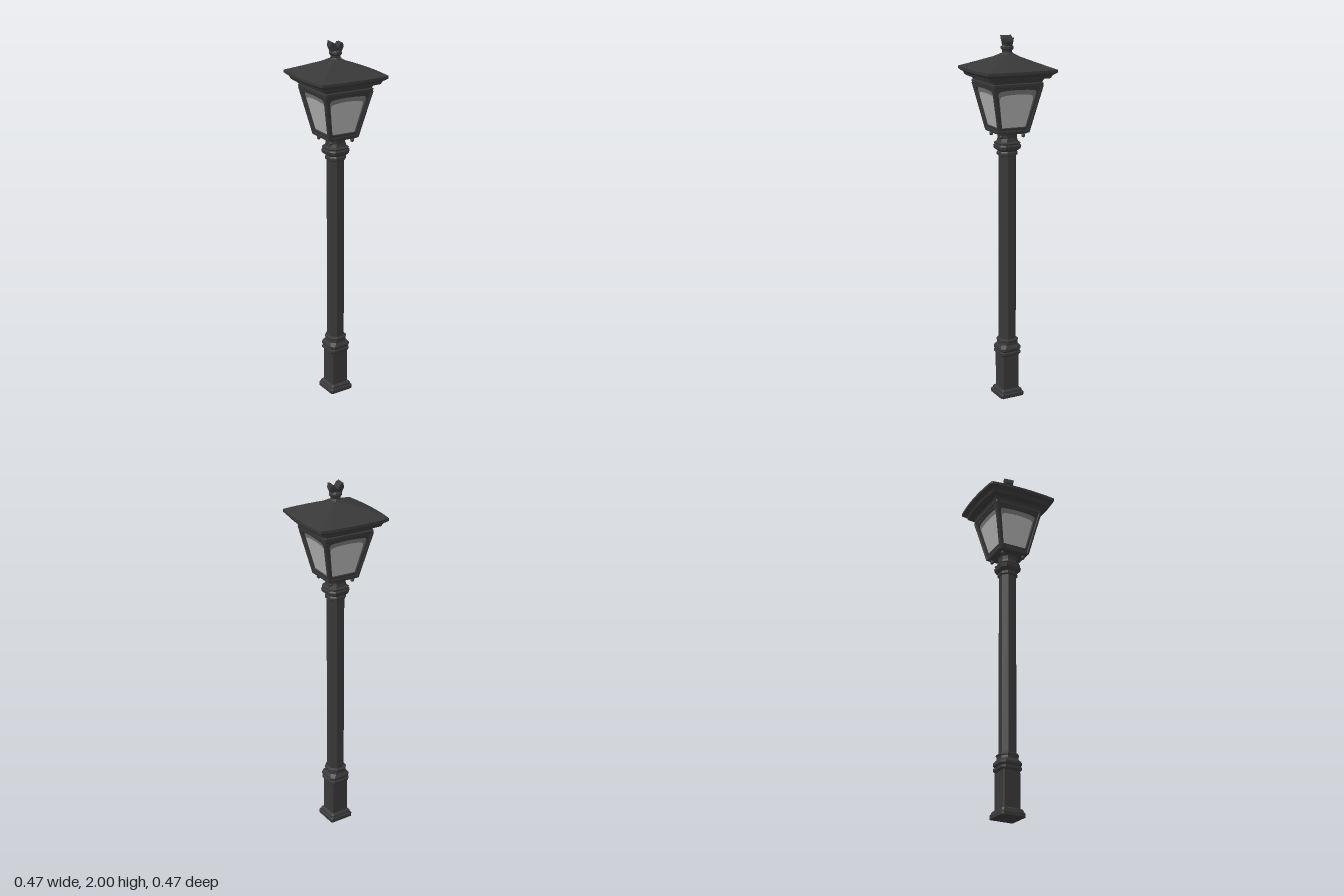
import * as THREE from 'three';

const metal = new THREE.MeshStandardMaterial({ color: 0x383838 });
metal.name = 'dark painted metal';
const glass = new THREE.MeshStandardMaterial({ color: 0xb2b2b2 });
glass.name = 'frosted glass';
const rimGlass = new THREE.MeshStandardMaterial({ color: 0x747474 });
rimGlass.name = 'shaded glass rim';

// Stacks square rings [y, halfWidth, cornerCut, bow]; cut is a fraction of halfWidth, bow bulges the sides.
function loft(name, rings, perSide = 1) {
  const loops = rings.map(([y, h, cut = 0.1, bow = 0]) => {
    const loop = [];
    for (let s = 0; s < 4; s++) {
      const c = Math.cos(s * Math.PI / 2), n = Math.sin(s * Math.PI / 2);
      for (let i = 0; i <= perSide; i++) {
        const t = -1 + 2 * i / perSide;
        const u = t * h * (1 - cut), w = h + bow * (1 - t * t);
        loop.push([u * c + w * n, y, w * c - u * n]);
      }
    }
    return loop;
  });
  const pos = [];
  const tri = (...p) => p.forEach(q => pos.push(...q));
  const N = loops[0].length, last = loops.length - 1;
  for (let i = 0; i < N; i++) {
    const j = (i + 1) % N;
    for (let k = 0; k < last; k++) {
      const a = loops[k][i], b = loops[k][j], c = loops[k + 1][j], d = loops[k + 1][i];
      tri(a, b, c);
      tri(a, c, d);
    }
    tri([0, rings[0][0], 0], loops[0][j], loops[0][i]);
    tri([0, rings[last][0], 0], loops[last][i], loops[last][j]);
  }
  const g = new THREE.BufferGeometry();
  g.setAttribute('position', new THREE.Float32BufferAttribute(pos, 3));
  g.computeVertexNormals();
  return mesh(name, g, metal);
}

function mesh(name, geometry, material) {
  const m = new THREE.Mesh(geometry, material);
  m.name = name;
  return m;
}

// Tapered pane outline with softened upper corners
function paneOutline(C, v0, v1, w0, w1, r) {
  const s = new C();
  s.moveTo(-w0, v0);
  s.lineTo(w0, v0);
  s.lineTo(w1 - 0.005, v1 - r);
  s.quadraticCurveTo(w1 - 0.005, v1 - r * 0.3, w1 - r, v1 - r * 0.2);
  s.quadraticCurveTo(0, v1 + r * 0.2, -w1 + r, v1 - r * 0.2);
  s.quadraticCurveTo(-w1 + 0.005, v1 - r * 0.3, -w1 + 0.005, v1 - r);
  s.lineTo(-w0, v0);
  return s;
}

// One sloping lantern side: frame with opening, shaded rim and pale pane
function lanternSide() {
  const side = new THREE.Group();
  side.name = 'lanternSide';
  const L = 0.256, frame = new THREE.Shape();
  frame.moveTo(-0.084, 0);
  frame.lineTo(0.084, 0);
  frame.lineTo(0.14, L);
  frame.lineTo(-0.14, L);
  frame.closePath();
  frame.holes.push(paneOutline(THREE.Path, 0.028, 0.238, 0.07, 0.114, 0.024));
  const frameGeo = new THREE.ExtrudeGeometry(frame, { depth: 0.014, bevelEnabled: false, curveSegments: 5 });
  frameGeo.translate(0, 0, -0.014);
  side.add(mesh('sideFrame', frameGeo, metal));
  const rim = mesh('paneRim', new THREE.ShapeGeometry(paneOutline(THREE.Shape, 0.02, 0.245, 0.073, 0.12, 0.02)), rimGlass);
  rim.position.z = -0.011;
  const pane = mesh('pane', new THREE.ShapeGeometry(paneOutline(THREE.Shape, 0.028, 0.21, 0.067, 0.1, 0.026)), glass);
  pane.position.z = -0.008;
  side.add(rim, pane);
  side.position.set(0, 1.502, 0.084);
  side.rotation.x = Math.atan2(0.056, 0.25);
  return side;
}

export function createModel() {
  const model = new THREE.Group();
  model.name = 'streetLamp';

  // Post: foot, plinth, lower collar, octagonal shaft, upper collar
  const post = new THREE.Group();
  post.name = 'post';
  post.rotation.y = -0.18;
  post.add(
    loft('foot', [[0, 0.07, 0.12], [0.02, 0.07, 0.12], [0.025, 0.064, 0.12], [0.036, 0.062, 0.12], [0.045, 0.051, 0.1]]),
    loft('plinth', [[0.04, 0.049, 0.07], [0.25, 0.049, 0.07]]),
    loft('lowerCollar', [[0.24, 0.05, 0.2], [0.25, 0.06, 0.25], [0.262, 0.06, 0.25], [0.266, 0.054, 0.3],
      [0.276, 0.062, 0.3], [0.288, 0.062, 0.3], [0.305, 0.05, 0.45], [0.32, 0.05, 0.5], [0.324, 0.054, 0.5],
      [0.332, 0.054, 0.5], [0.338, 0.044, 0.586]]),
    loft('shaft', [[0.33, 0.044, 0.586], [1.39, 0.044, 0.586]]),
    loft('upperCollar', [[1.37, 0.044, 0.586], [1.375, 0.05, 0.5], [1.388, 0.05, 0.5], [1.395, 0.045, 0.5],
      [1.408, 0.06, 0.35], [1.424, 0.063, 0.35], [1.432, 0.057, 0.35], [1.44, 0.06, 0.35], [1.448, 0.05, 0.45],
      [1.465, 0.046, 0.5], [1.485, 0.047, 0.5], [1.5, 0.055, 0.4]]),
  );
  model.add(post);

  // Lantern head
  const head = new THREE.Group();
  head.name = 'head';
  head.rotation.y = -0.232;
  head.add(loft('lanternFloor', [[1.494, 0.08], [1.498, 0.087], [1.512, 0.089], [1.52, 0.085]]));
  for (let i = 0; i < 4; i++) {
    const quarter = new THREE.Group();
    quarter.name = 'lanternQuarter';
    quarter.rotation.y = i * Math.PI / 2;
    quarter.add(lanternSide());
    // Round corner bar and small knob beneath it
    const bar = mesh('cornerBar', new THREE.CylinderGeometry(0.009, 0.009, 0.262, 6), metal);
    const low = new THREE.Vector3(0.082, 1.502, 0.082), high = new THREE.Vector3(0.136, 1.752, 0.136);
    bar.position.copy(low).add(high).multiplyScalar(0.5);
    bar.quaternion.setFromUnitVectors(new THREE.Vector3(0, 1, 0), high.sub(low).normalize());
    const knob = mesh('knob', new THREE.SphereGeometry(0.011, 8, 6), metal);
    knob.position.set(0.064, 1.482, 0.064);
    const stem = mesh('knobStem', new THREE.CylinderGeometry(0.007, 0.007, 0.02, 6), metal);
    stem.position.set(0.064, 1.494, 0.064);
    quarter.add(bar, knob, stem);
    head.add(quarter);
  }
  head.add(
    loft('cornice', [[1.745, 0.137, 0.04], [1.75, 0.143, 0.04], [1.764, 0.144, 0.04], [1.768, 0.139, 0.04],
      [1.78, 0.143, 0.04], [1.795, 0.155, 0.04]]),
    loft('roof', [[1.786, 0.15, 0.03, 0.01], [1.79, 0.172, 0.03, 0.012], [1.805, 0.178, 0.03, 0.012],
      [1.815, 0.192, 0.03, 0.013], [1.82, 0.198, 0.025, 0.014], [1.834, 0.198, 0.025, 0.014],
      [1.864, 0.122, 0.03, 0.009], [1.892, 0.055, 0.08, 0.004], [1.91, 0.025, 0.3, 0]], 8),
  );

  // Finial: turned neck under a split, notched crown
  const finial = new THREE.Group();
  finial.name = 'finial';
  const profile = [[0, 1.895], [0.034, 1.9], [0.034, 1.908], [0.026, 1.915], [0.026, 1.925], [0.034, 1.934],
    [0.034, 1.944], [0.025, 1.952], [0, 1.955]].map(p => new THREE.Vector2(...p));
  finial.add(mesh('finialNeck', new THREE.LatheGeometry(profile, 10).toNonIndexed(), metal));
  finial.children[0].geometry.computeVertexNormals();
  const notch = new THREE.Shape([[-0.026, 1.945], [0.026, 1.945], [0.036, 1.972], [0.03, 1.992], [0.018, 1.99],
    [0.001, 1.968], [-0.018, 1.994], [-0.03, 2], [-0.038, 1.975]].map(p => new THREE.Vector2(...p)));
  const crownGeo = new THREE.ExtrudeGeometry(notch, { depth: 0.064, bevelEnabled: false });
  crownGeo.translate(0, 0, -0.032);
  // Narrow the crown toward its base and outer tips
  const p = crownGeo.attributes.position;
  for (let i = 0; i < p.count; i++) {
    const lift = (p.getY(i) - 1.945) / 0.055;
    p.setZ(i, p.getZ(i) * (0.7 + 0.45 * lift) * (1 - 7 * Math.abs(p.getX(i))));
  }
  crownGeo.computeVertexNormals();
  const crown = mesh('finialCrown', crownGeo, metal);
  crown.rotation.y = -0.35;
  finial.add(crown);
  model.add(head, finial);
  return model;
}
